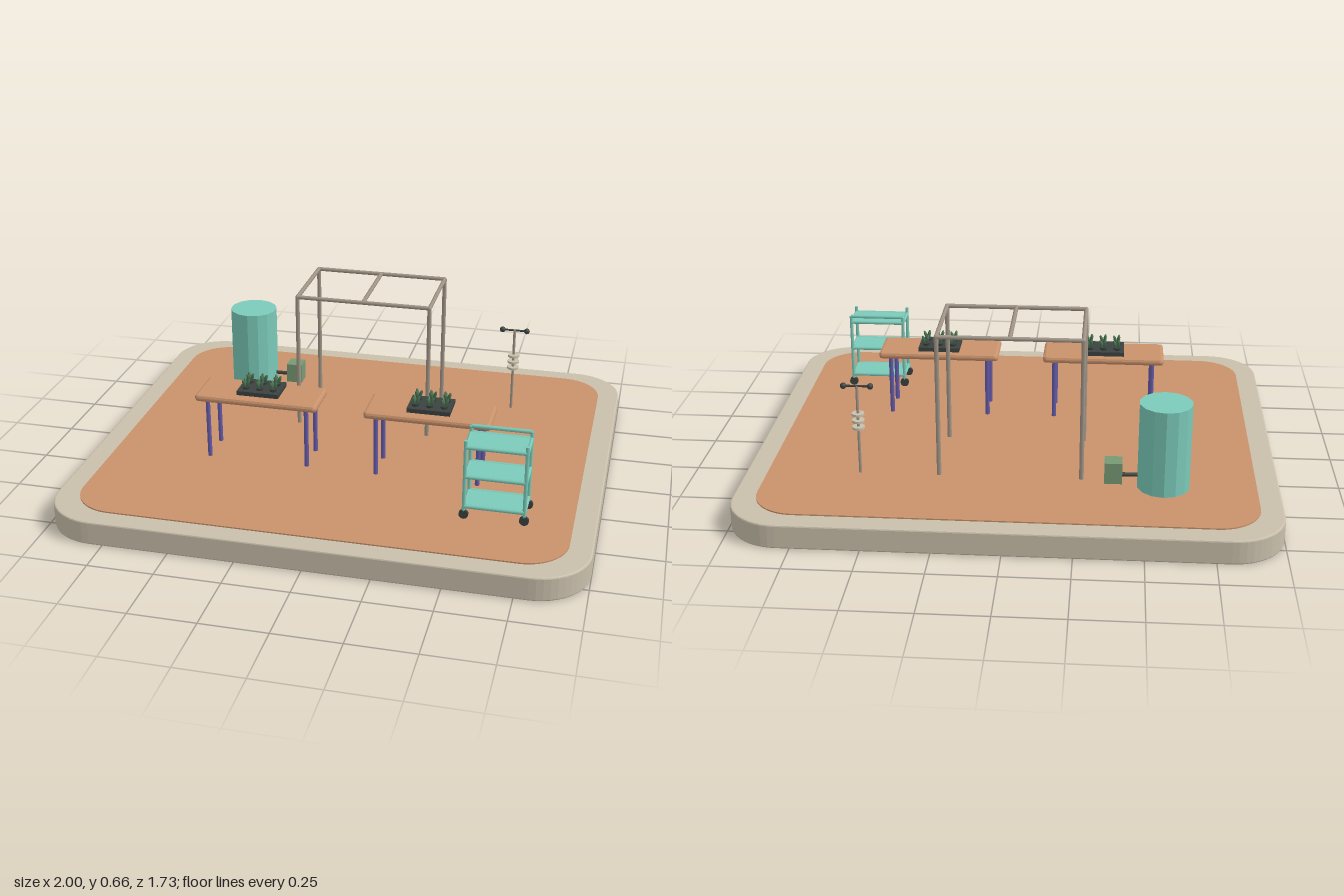
import * as THREE from 'three';

const paint = (name, color) => {
  const m = new THREE.MeshStandardMaterial({ color });
  m.name = name;
  return m;
};

// Faceted normals for low-poly parts
const flat = (geo) => {
  const g = geo.index ? geo.toNonIndexed() : geo;
  g.computeVertexNormals();
  return g;
};

// Horizontal slab with rounded corners and a bevelled edge, from y0 to y1
function slabGeometry(hx, hz, r, y0, y1, bevel) {
  const w = hx - bevel, d = hz - bevel, c = Math.max(r - bevel, 0.002);
  const s = new THREE.Shape();
  s.absarc(w - c, d - c, c, 0, Math.PI / 2, false);
  s.absarc(-w + c, d - c, c, Math.PI / 2, Math.PI, false);
  s.absarc(-w + c, -d + c, c, Math.PI, Math.PI * 1.5, false);
  s.absarc(w - c, -d + c, c, Math.PI * 1.5, Math.PI * 2, false);
  const g = new THREE.ExtrudeGeometry(s, {
    depth: y1 - y0 - 2 * bevel, bevelEnabled: bevel > 0, bevelThickness: bevel,
    bevelSize: bevel, bevelSegments: 2, curveSegments: 6,
  });
  g.rotateX(-Math.PI / 2);
  g.translate(0, y0 + bevel, 0);
  return g;
}

export function createModel() {
  const stone = paint('stone', 0xc9bfab);
  const clay = paint('clay', 0xc9926b);
  const teal = paint('teal', 0x7bcab9);
  const steel = paint('steel', 0xa09486);
  const violet = paint('violet', 0x655aa8);
  const charcoal = paint('charcoal', 0x3c4340);
  const sage = paint('sage', 0x789a74);
  const leaf = paint('leaf green', 0x47704f);

  const model = new THREE.Group();
  model.name = 'gardenYard';

  const add = (parent, name, geo, mat, x = 0, y = 0, z = 0) => {
    const m = new THREE.Mesh(geo, mat);
    m.name = name;
    m.position.set(x, y, z);
    parent.add(m);
    return m;
  };
  const group = (name, x = 0, z = 0) => {
    const g = new THREE.Group();
    g.name = name;
    g.position.set(x, 0, z);
    model.add(g);
    return g;
  };
  // Straight round bar between two points
  const bar = (parent, name, a, b, r, mat, sides = 8) => {
    const p = new THREE.Vector3(...a), q = new THREE.Vector3(...b);
    const dir = q.clone().sub(p);
    const m = add(parent, name, new THREE.CylinderGeometry(r, r, dir.length(), sides), mat);
    m.position.copy(p).add(q).multiplyScalar(0.5);
    m.quaternion.setFromUnitVectors(new THREE.Vector3(0, 1, 0), dir.normalize());
    return m;
  };
  const F = 0.098; // floor level

  // Ground slab and clay floor
  add(model, 'baseSlab', slabGeometry(1, 0.865, 0.2, 0, 0.093, 0.006), stone);
  add(model, 'floor', slabGeometry(0.915, 0.785, 0.16, 0.09, F, 0), clay);

  // Water tank with its pump
  const tank = group('waterTank', -0.57, -0.47);
  add(tank, 'tankBody', flat(new THREE.CylinderGeometry(0.098, 0.098, 0.335, 14)), teal, 0, F + 0.1675, 0);
  bar(tank, 'pumpPipe', [0.09, 0.14, 0], [0.16, 0.14, 0], 0.008, charcoal);
  add(tank, 'pumpBox', new THREE.BoxGeometry(0.066, 0.082, 0.066), sage, 0.185, 0.156, 0);

  // Open tube frame
  const frame = group('tubeFrame', 0, -0.266);
  const fx = 0.267, fz = 0.169, fy = 0.65, fr = 0.0085;
  for (const x of [-fx, fx]) {
    for (const z of [-fz, fz]) {
      bar(frame, 'framePost', [x, F - 0.004, z], [x, fy, z], fr, steel);
      add(frame, 'frameCorner', new THREE.SphereGeometry(fr, 8, 6), steel, x, fy, z);
    }
  }
  for (const x of [-fx, 0, fx]) bar(frame, 'frameCrossBeam', [x, fy, -fz], [x, fy, fz], fr, steel);
  for (const z of [-fz, fz]) bar(frame, 'frameLongBeam', [-fx, fy, z], [fx, fy, z], fr, steel);

  // Two potting tables, each with a seedling tray
  const topGeo = slabGeometry(0.243, 0.094, 0.016, 0.338, 0.366, 0.011);
  const potGeo = new THREE.CylinderGeometry(0.016, 0.013, 0.012, 8);
  const leafGeo = new THREE.SphereGeometry(1, 6, 5);
  leafGeo.scale(0.0065, 0.018, 0.0065);
  for (const side of [-1, 1]) {
    const table = group('pottingTable', side * 0.334, 0.203);
    add(table, 'tableTop', topGeo, clay);
    for (const x of [-0.197, 0.197]) {
      for (const z of [-0.067, 0.067]) {
        bar(table, 'tableLeg', [x, F - 0.004, z], [x, 0.345, z], 0.009, violet);
      }
    }
    add(table, 'seedlingTray', new THREE.BoxGeometry(0.165, 0.018, 0.122), charcoal, 0, 0.374, -0.006);
    for (const x of [-0.055, 0, 0.055]) {
      for (const z of [-0.034, 0.022]) {
        add(table, 'seedlingPot', potGeo, charcoal, x, 0.387, z);
        for (let i = 0; i < 3; i++) {
          const a = (i / 3) * Math.PI * 2;
          const l = add(table, 'seedlingLeaf', leafGeo, leaf,
            x + 0.009 * Math.cos(a), 0.406, z + 0.009 * Math.sin(a));
          l.rotation.set(0.35 * Math.sin(a), 0, -0.35 * Math.cos(a));
        }
      }
    }
  }

  // Three-shelf trolley on castors
  const cart = group('trolley', 0.631, 0.467);
  const cx = 0.11, cz = 0.062;
  for (const y of [0.148, 0.268, 0.386]) {
    add(cart, 'shelf', new THREE.BoxGeometry(0.222, 0.01, 0.124), teal, 0, y, 0);
    for (const z of [-cz, cz]) bar(cart, 'shelfRail', [-cx, y, z], [cx, y, z], 0.008, teal);
    for (const x of [-cx, cx]) bar(cart, 'shelfEnd', [x, y, -cz], [x, y, cz], 0.007, teal);
  }
  for (const x of [-cx, cx]) {
    for (const z of [-cz, cz]) {
      bar(cart, 'cartPost', [x, 0.13, z], [x, 0.412, z], 0.007, teal);
      bar(cart, 'castor', [x, 0.116, z - 0.006], [x, 0.116, z + 0.006], 0.018, charcoal, 12);
    }
  }
  bar(cart, 'pushHandle', [-cx, 0.412, -cz], [cx, 0.412, -cz], 0.008, teal);

  // Weather mast with sensor shield and wind cups
  const mast = group('weatherMast', 0.565, -0.437);
  bar(mast, 'mastPole', [0, F - 0.004, 0], [0, 0.452, 0], 0.0055, steel);
  for (const y of [0.284, 0.311, 0.338]) {
    add(mast, 'shieldDisc', new THREE.CylinderGeometry(0.024, 0.024, 0.009, 12), stone, 0, y, 0);
  }
  bar(mast, 'cupArm', [-0.05, 0.45, 0], [0.05, 0.45, 0], 0.004, charcoal, 6);
  for (const x of [-0.05, 0.05]) {
    add(mast, 'windCup', new THREE.SphereGeometry(0.012, 10, 8), charcoal, x, 0.45, 0);
  }
  return model;
}
